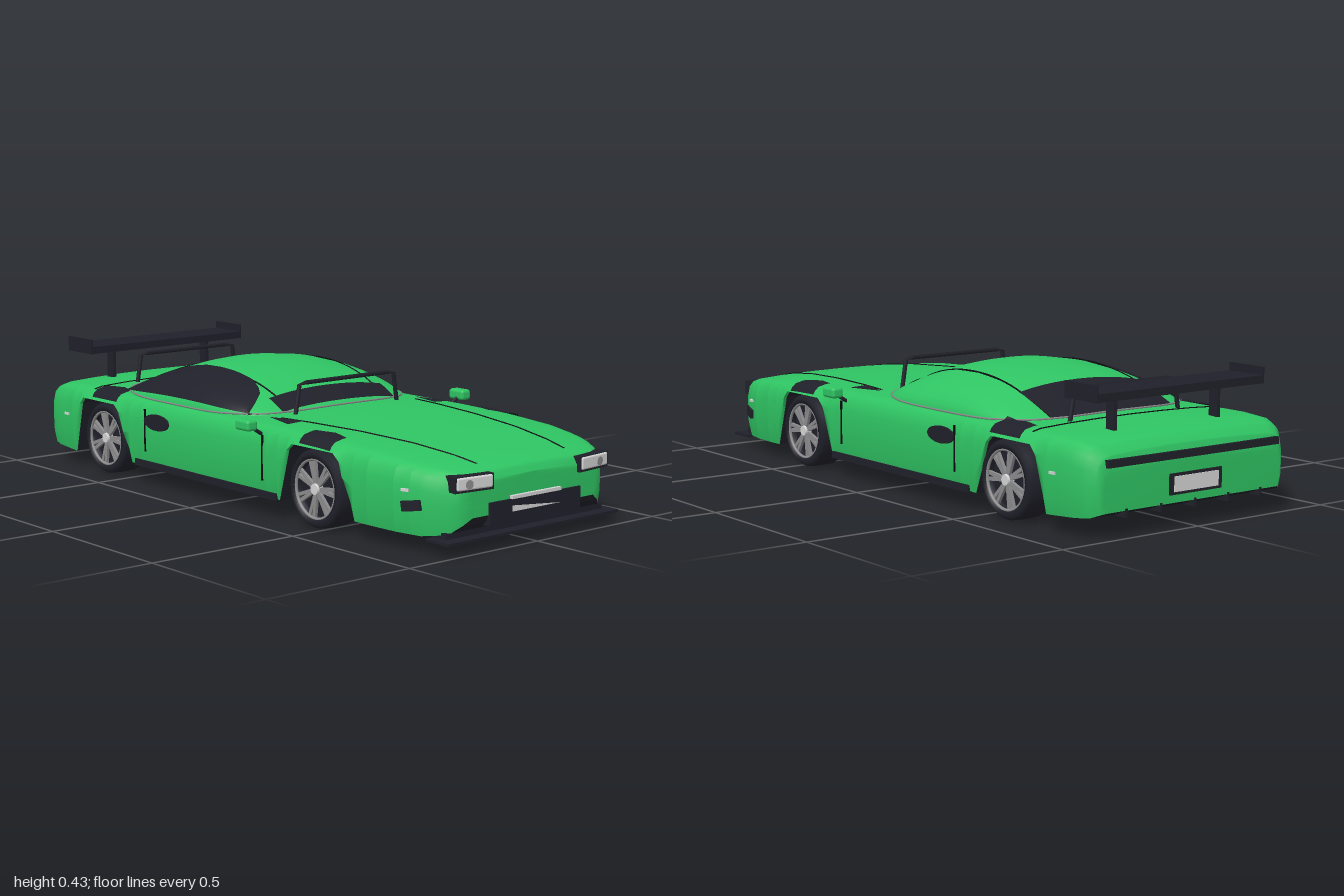
import * as THREE from 'three';
import { RoundedBoxGeometry } from 'three/addons/geometries/RoundedBoxGeometry.js';

const mat = (name, color) => new THREE.MeshStandardMaterial({ name, color, side: THREE.DoubleSide });

// Piecewise linear lookup in a table of [input, output] pairs
function look(table, x) {
  if (x <= table[0][0]) return table[0][1];
  for (let i = 1; i < table.length; i++) {
    const [a, b] = [table[i - 1], table[i]];
    if (x <= b[0]) return a[1] + (b[1] - a[1]) * (x - a[0]) / (b[0] - a[0]);
  }
  return table[table.length - 1][1];
}

// Skin through rows of points: rows run along +x, points run towards +z on top
function skin(rows, flat = false) {
  const n = rows[0].length, idx = [];
  for (let i = 0; i < rows.length - 1; i++)
    for (let j = 0; j < n - 1; j++) {
      const a = i * n + j, c = a + n;
      idx.push(a, a + 1, c, a + 1, c + 1, c);
    }
  let g = new THREE.BufferGeometry();
  g.setAttribute('position', new THREE.Float32BufferAttribute(rows.flat(2), 3));
  g.setIndex(idx);
  if (flat) g = g.toNonIndexed();
  g.computeVertexNormals();
  return g;
}

// Body curves along the car
const TOP = [[-.985, .205], [-.975, .24], [-.95, .265], [-.9, .28], [-.8, .286], [.3, .286], [.5, .282], [.7, .272], [.85, .256], [.93, .242], [.97, .228], [.985, .205]];
const HALF = [[-.985, .34], [-.97, .36], [-.94, .383], [-.9, .395], [-.8, .4], [.55, .4], [.7, .393], [.8, .38], [.88, .358], [.93, .333], [.96, .305], [.975, .285], [.985, .255]];
const BASE = [[-.985, .075], [-.95, .06], [-.8, .05], [-.4, .06], [.25, .06], [.7, .05], [.88, .045], [.95, .055], [.975, .08], [.985, .1]];
const ARCH = [[-.791, 0], [-.79, .05], [-.75, .22], [-.73, .242], [-.55, .242], [-.525, .22], [-.465, .06], [-.464, 0],
  [.304, 0], [.305, .06], [.35, .22], [.375, .242], [.56, .242], [.585, .22], [.64, .05], [.641, 0]];
const DROP = [[0, 0], [.3, .001], [.6, .004], [.85, .009], [.93, .016], [.975, .032], [1, .07]];
const skinY = (x, z) => look(TOP, x) - look(DROP, Math.abs(z) / look(HALF, x));

// Cabin: domed height over a rounded outline
const ROOF = [[-.66, .27], [-.62, .298], [-.56, .325], [-.5, .351], [-.45, .37], [-.4, .385], [-.35, .395], [-.3, .402], [-.22, .405], [-.15, .401], [-.1, .393], [-.05, .381], [0, .365], [.08, .328], [.13, .298], [.16, .27]];
const CX = -.25, CA = .41, CB = .365;
const cabinHalf = x => CB * Math.pow(Math.max(0, 1 - Math.pow(Math.abs((x - CX) / CA), 4)), .25);
function cabinY(x, z) {
  const w = cabinHalf(x);
  return Math.abs(z) >= w ? 0 : .27 + (look(ROOF, x) - .27) * Math.sqrt(1 - (z / w) ** 2);
}
const surfY = (x, z) => Math.max(skinY(x, z), cabinY(x, z));

// Thin patch lying on the surface between two z edges
function drape(x0, x1, zA, zB, lift = .004, n = 24, m = 10) {
  const rows = [];
  for (let i = 0; i <= n; i++) {
    const x = x0 + (x1 - x0) * i / n, row = [];
    for (let j = 0; j <= m; j++) {
      const z = zA(x) + (zB(x) - zA(x)) * j / m;
      row.push([x, surfY(x, z) + lift, z * 1.012]);
    }
    rows.push(row);
  }
  return skin(rows);
}

export function createModel() {
  const car = new THREE.Group();
  car.name = 'sportsCar';
  const green = mat('paintGreen', 0x2fc463), dark = mat('darkTrim', 0x20202a), black = mat('seamBlack', 0x0c0c10),
    grey = mat('rimGrey', 0x8c8c8e), light = mat('lampWhite', 0xd6d6d6);
  const add = (name, geo, m, x = 0, y = 0, z = 0, parent = car) => {
    const o = new THREE.Mesh(geo, m);
    o.name = name;
    o.position.set(x, y, z);
    parent.add(o);
    return o;
  };
  const box = (name, m, x, y, z, sx, sy, sz, parent) => add(name, new THREE.BoxGeometry(sx, sy, sz), m, x, y, z, parent);
  const rod = (name, m, r, pts, seg = 1) => {
    const path = new THREE.CurvePath(), v = pts.map(p => new THREE.Vector3(...p));
    for (let i = 1; i < v.length; i++) path.add(new THREE.LineCurve3(v[i - 1], v[i]));
    return add(name, new THREE.TubeGeometry(path, seg * (v.length - 1), r, 6), m);
  };
  const seam = (name, x0, z0, x1, z1, m = black) => {
    const pts = [];
    for (let i = 0; i <= 24; i++) {
      const x = x0 + (x1 - x0) * i / 24, z = z0 + (z1 - z0) * i / 24;
      pts.push([x, surfY(x, z), z]);
    }
    return rod(name, m, .003, pts);
  };

  // Body shell and dark underside with wheel wells
  const xs = [...TOP, ...HALF, ...BASE, ...ARCH].map(p => p[0]);
  for (let x = -.9; x < .95; x += .05) xs.push(x);
  const stations = [...new Set(xs)].sort((a, b) => a - b).map(x => [x, 1]);
  stations.unshift([-.985, 0]);
  stations.push([.985, 0]);
  const shell = [], under = [];
  for (const [x, s] of stations) {
    const w = look(HALF, x) * s, top = look(TOP, x), base = look(BASE, x), edge = Math.max(base, look(ARCH, x));
    const side = DROP.map(([k, d]) => [k, top - d]);
    side.push([1, top + (base - top) * .55], [.995, top + (base - top) * .8], [.97, base]);
    const half = side.map(([k, y]) => [x, Math.max(y, edge), k * w]);
    shell.push([...half.slice(1).reverse().map(([a, b, c]) => [a, b, -c]), ...half]);
    const inner = Math.min(.27, w * .7);
    under.push([[x, edge, w * .97], [x, edge, inner], [x, base, inner], [x, base, -inner], [x, edge, -inner], [x, edge, -w * .97]]);
  }
  add('bodyShell', skin(shell), green);
  add('underbody', skin(under, true), dark);

  // Cabin dome
  const dome = [];
  for (let i = 0; i <= 40; i++) {
    const c = -Math.cos(Math.PI * i / 40), x = CX + CA * Math.sign(c) * Math.sqrt(Math.abs(c)), row = [];
    for (let j = 0; j <= 32; j++) {
      const a = Math.PI * (j / 32 - .5);
      row.push([x, .27 + (look(ROOF, x) - .27) * Math.cos(a), cabinHalf(x) * Math.sin(a)]);
    }
    dome.push(row);
  }
  add('cabinRoof', skin(dome), green);

  // Windows
  const INNER = [[-.57, .335], [-.5, .27], [-.4, .21], [-.3, .2], [-.05, .205], [.02, .23], [.05, .27], [.08, .33]];
  add('sideWindow', drape(-.57, .08, x => look(INNER, x), x => cabinHalf(x) * .982), dark);
  add('rearWindow', drape(-.635, -.47, () => -.23, () => .23), dark);
  add('windscreen', drape(.06, .13, () => -.23, () => .23), dark);

  // Cabin outline and panel seams
  const ring = [];
  for (let i = 0; i < 60; i++) {
    const a = i / 60 * Math.PI * 2, c = Math.cos(a), s = Math.sin(a);
    const x = CX + CA * .97 * Math.sign(c) * Math.sqrt(Math.abs(c)), z = CB * Math.sign(s) * Math.sqrt(Math.abs(s));
    ring.push(new THREE.Vector3(x, skinY(x, z) + .005, z));
  }
  add('cabinOutline', new THREE.TubeGeometry(new THREE.CatmullRomCurve3(ring, true), 120, .003, 5, true), grey);
  seam('rearDeckSeam', -.705, -.37, -.705, .37);

  // Roll frames ahead of and behind the cabin
  for (const x of [.165, -.68])
    rod('rollFrame', dark, .007, [[x, .275, -.212], [x, .378, -.195], [x, .378, .195], [x, .275, .212]], 6);

  // Rear wing
  box('wingBlade', dark, -.86, .388, 0, .14, .024, .64);

  for (const s of [1, -1]) {
    box('wingEndPlate', dark, -.86, .4, s * .32, .14, .05, .006);
    box('wingPost', dark, -.85, .325, s * .2, .035, .11, .012);
    seam('hoodSeam', .18, s * .28, .93, s * .18);
    seam('roofSeam', -.62, s * .23, .1, s * .2);

    // Fender vents and dark pillar wedges
    for (const x of [-.61, .475])
      add('fenderVent', drape(x - .07, x + .07, q => s * (.31 + Math.abs(q - x) * .25), () => s * .392, .005), dark);
    add('pillarWedge', drape(.15, .28, q => s * (.3 - (q - .15) * .25), q => s * (.3 + (q - .15) * .25)), dark);

    // Side vent, door seams, sill and markers
    const oval = add('sideVent', new THREE.CylinderGeometry(1, 1, .008, 28), dark, -.307, .213, s * .401);
    oval.rotation.x = Math.PI / 2;
    oval.scale.set(.066, 1, .026);
    for (const x of [-.373, .235]) box('doorSeam', black, x, .18, s * .4, .005, .14, .005);
    box('sill', dark, -.07, .067, s * .388, .73, .022, .02);
    box('rearMarker', light, -.83, .175, s * .4, .025, .008, .006);
    box('frontMarker', light, .84, .175, s * .372, .025, .008, .008).rotation.y = s * .25;
    box('frontSideVent', dark, .86, .132, s * .366, .062, .03, .01).rotation.set(0, s * .32, .15);

    // Mirrors
    add('mirror', new RoundedBoxGeometry(.066, .034, .04, 3, .01), green, .215, .284, s * .445);
    rod('mirrorStalk', dark, .006, [[.22, .25, s * .39], [.22, .278, s * .435]]);

    // Headlights
    const lamp = new THREE.Group();
    lamp.name = 'headlight';
    lamp.position.set(.964, .2, s * .242);
    lamp.rotation.y = -s * .12;
    car.add(lamp);
    box('lampFrame', dark, 0, 0, 0, .05, .046, .136, lamp);
    add('lampLens', new RoundedBoxGeometry(.02, .038, .126, 2, .006), light, .02, .002, 0, lamp);
    const bulb = add('lampBulb', new THREE.CylinderGeometry(.013, .013, .006, 20), grey, .029, 0, s * .022, lamp);
    bulb.rotation.z = Math.PI / 2;
  }

  // Nose: grille, air intake, number plate and splitter
  box('grille', dark, .965, .102, 0, .055, .068, .37);
  box('airIntake', dark, .95, .092, 0, .05, .024, .54);
  box('plateTrim', light, .99, .141, 0, .012, .01, .2);
  const wedge = new THREE.Shape([[.1, .118], [.1, .1], [-.1, .1]].map(p => new THREE.Vector2(...p)));
  add('plateWedge', new THREE.ShapeGeometry(wedge), light, .995, 0, 0).rotation.y = -Math.PI / 2;
  box('splitter', dark, .95, .039, 0, .09, .008, .7);
  box('noseValance', dark, .925, .05, 0, .06, .02, .64);

  // Tail: light bar, number plate and diffuser fins
  box('tailLightBar', dark, -.982, .213, 0, .014, .022, .66);
  box('rearPlateFrame', dark, -.985, .13, 0, .01, .062, .2);
  box('rearPlate', light, -.989, .13, 0, .008, .045, .17);
  for (let i = -2; i <= 2; i++) box('diffuserFin', dark, -.965, .068, i * .13, .045, .026, .008);

  // Wheels
  const tyre = new THREE.LatheGeometry([[.085, -.052], [.108, -.052], [.118, -.04], [.12, 0], [.118, .04], [.108, .052], [.09, .05], [.086, .025]]
    .map(p => new THREE.Vector2(...p)), 40);
  for (const x of [-.61, .473]) for (const s of [1, -1]) {
    const wheel = new THREE.Group();
    wheel.name = 'wheel';
    wheel.position.set(x, .12, s * .344);
    wheel.rotation.x = s * Math.PI / 2;
    car.add(wheel);
    add('tyre', tyre, dark, 0, 0, 0, wheel);
    add('wheelDisc', new THREE.CylinderGeometry(.088, .088, .05, 32), dark, 0, 0, 0, wheel);
    add('rimRing', new THREE.TorusGeometry(.089, .005, 8, 40), grey, 0, .046, 0, wheel).rotation.x = Math.PI / 2;
    add('hub', new THREE.CylinderGeometry(.016, .02, .02, 16), light, 0, .042, 0, wheel);
    for (let i = 0; i < 7; i++) for (const d of [-.11, .11]) {
      const a = i / 7 * Math.PI * 2 + d;
      const spoke = box('spoke', grey, Math.cos(a) * .052, .04, -Math.sin(a) * .052, .075, .01, .011, wheel);
      spoke.rotation.y = a;
    }
  }
  return car;
}
